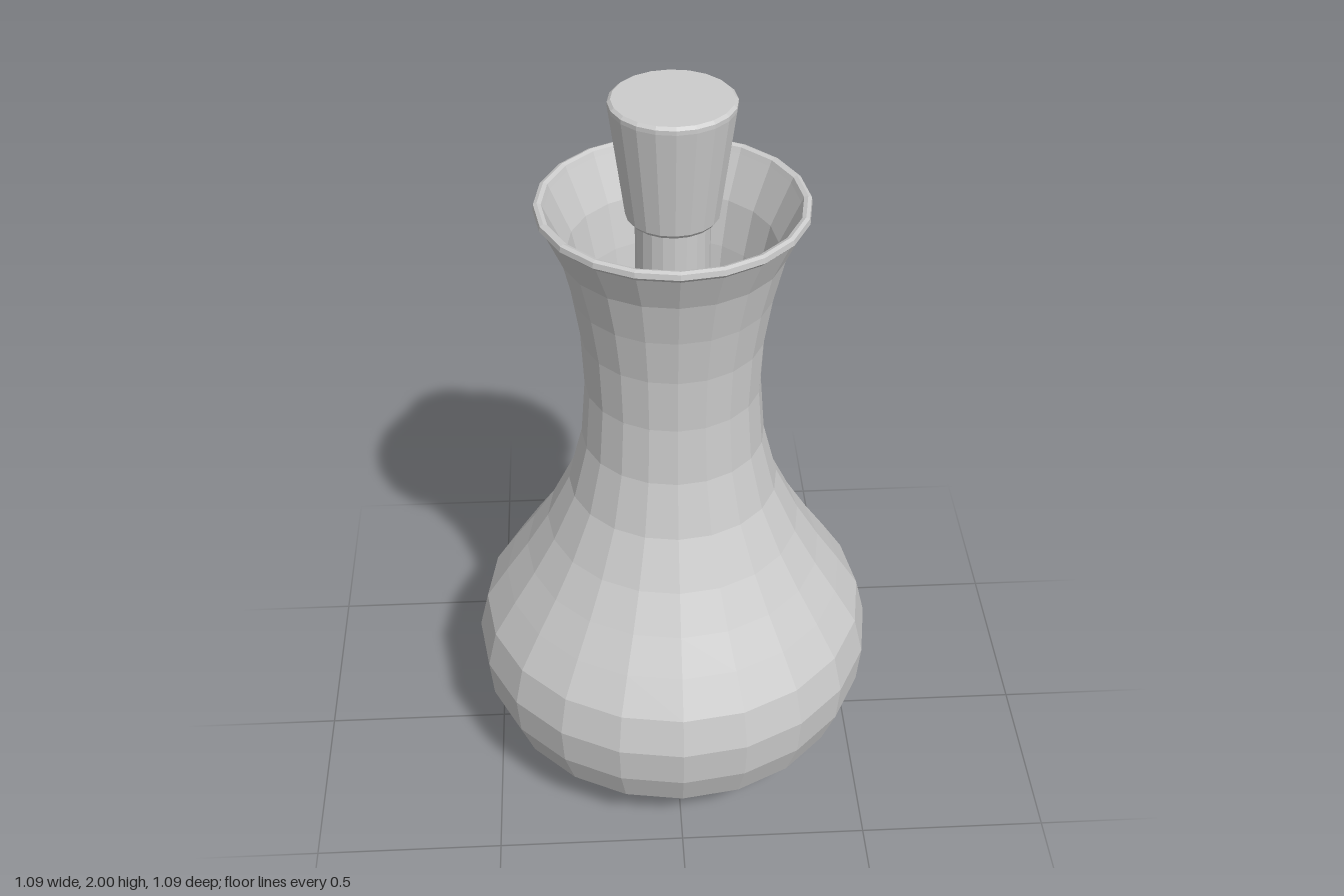
import * as THREE from 'three';

const SIDES = 20;

// Revolves a list of [radius, height] pairs into a faceted solid.
function turned(name, profile) {
  const points = profile.map(([r, y]) => new THREE.Vector2(r, y));
  const material = new THREE.MeshStandardMaterial({ color: 0xcccccc, flatShading: true });
  const mesh = new THREE.Mesh(new THREE.LatheGeometry(points, SIDES), material);
  mesh.name = name;
  return mesh;
}

export function createModel() {
  const group = new THREE.Group();
  group.name = 'stopperedBottle';

  // Bottle: outer wall from the base up, over the lip, then down the inside
  const outer = [
    [0, 0], [0.15, 0.005], [0.29, 0.02], [0.41, 0.07], [0.495, 0.155], [0.535, 0.26],
    [0.545, 0.37], [0.52, 0.475], [0.46, 0.57], [0.4, 0.66], [0.34, 0.76], [0.278, 0.89],
    [0.24, 1.04], [0.228, 1.2], [0.235, 1.35], [0.255, 1.48], [0.283, 1.6], [0.327, 1.7],
  ];
  const lip = [[0.339, 1.712], [0.337, 1.726], [0.328, 1.73], [0.318, 1.726], [0.312, 1.712]];
  const wall = 0.022;
  const inner = outer.slice(1, -1).reverse()
    .map(([r, y]) => [r - wall, y < 0.3 ? y + wall : y]);
  group.add(turned('bottle', [...outer, ...lip, ...inner, [0, 0.025]]));

  // Stopper: tapered grip, slim stem and a plug seated in the neck
  const stopper = new THREE.Group();
  stopper.name = 'stopper';
  stopper.add(
    turned('grip', [
      [0, 1.685], [0.108, 1.685], [0.116, 1.695], [0.154, 1.982],
      [0.154, 1.993], [0.146, 2], [0, 2],
    ]),
    turned('stem', [[0.093, 1.38], [0.093, 1.69]]),
    turned('plug', [
      [0, 1.2], [0.19, 1.2], [0.2, 1.21], [0.217, 1.39], [0.216, 1.4],
      [0.207, 1.408], [0, 1.415],
    ]),
  );
  group.add(stopper);

  return group;
}
